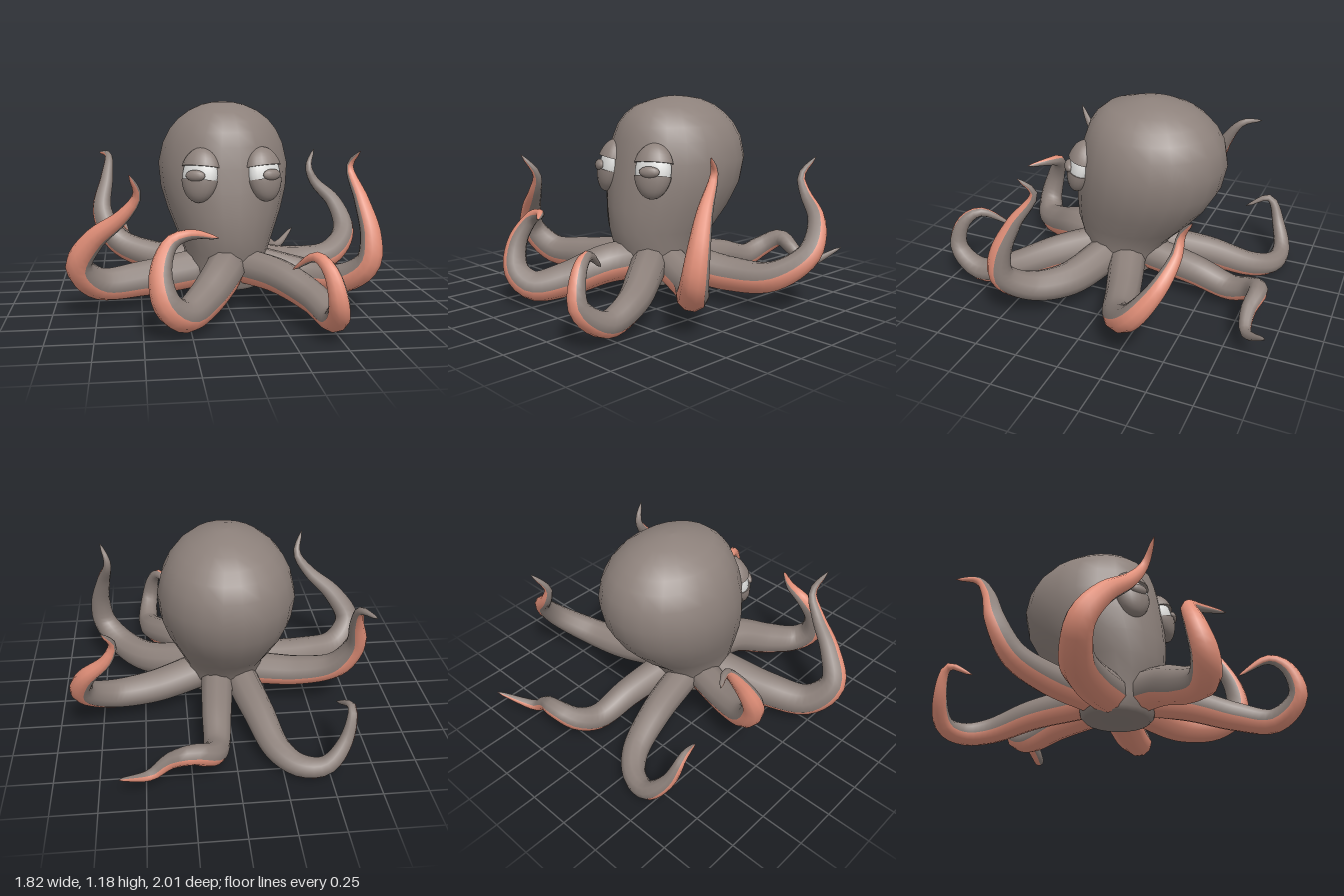
import * as THREE from 'three';

const mat = (name, color) => Object.assign(new THREE.MeshStandardMaterial({ color }), { name });
const V = (p) => new THREE.Vector3(...p);

// Skin a list of equal-sized rings; the first `split` strips use material 0, the rest material 1
function loft(rings, split) {
  const n = rings[0].length, pos = [], index = [];
  rings.forEach((ring) => ring.forEach((p) => pos.push(p.x, p.y, p.z)));
  for (let j = 0; j < n; j++) {
    const k = (j + 1) % n;
    for (let i = 0; i < rings.length - 1; i++) {
      const a = i * n, b = a + n;
      index.push(a + j, a + k, b + j, a + k, b + k, b + j);
    }
  }
  const geo = new THREE.BufferGeometry();
  geo.setAttribute('position', new THREE.Float32BufferAttribute(pos, 3));
  geo.setIndex(index);
  const cut = split * (rings.length - 1) * 6;
  geo.addGroup(0, cut, 0);
  geo.addGroup(cut, index.length - cut, 1);
  geo.computeVertexNormals();
  return geo;
}

// Tapered arm along a curve; the underside, rolled by an angle, is carried along without twisting
function armGeometry(thick, roll, points) {
  const curve = new THREE.CatmullRomCurve3(points.map(V), false, 'centripetal');
  const rings = [], steps = 36, sides = 10;
  const down = new THREE.Vector3(0, -1, 0);
  for (let i = 0; i <= steps; i++) {
    const t = i / steps, c = curve.getPointAt(t), dir = curve.getTangentAt(t);
    down.addScaledVector(dir, -down.dot(dir)).normalize();
    const side = new THREE.Vector3().crossVectors(dir, down);
    const r = i === steps ? 0.002 : thick * (1 - Math.pow(t, 1.6)) + 0.007;
    rings.push(Array.from({ length: sides }, (_, j) => {
      const a = ((j - 2) / sides) * Math.PI * 2 + roll;
      return c.clone().addScaledVector(down, r * Math.cos(a)).addScaledVector(side, r * Math.sin(a));
    }));
  }
  return loft(rings, 4);
}

// Elliptical body sections: y, half width, front z, back z
const BODY = [
  [0.1, 0.001, 0.03, 0.028], [0.103, 0.2, 0.21, -0.16], [0.125, 0.225, 0.235, -0.18], [0.2, 0.235, 0.25, -0.2],
  [0.32, 0.25, 0.29, -0.26], [0.42, 0.288, 0.315, -0.36], [0.55, 0.34, 0.317, -0.47],
  [0.68, 0.378, 0.305, -0.545], [0.82, 0.39, 0.285, -0.575], [0.94, 0.362, 0.26, -0.555],
  [1.02, 0.322, 0.232, -0.51], [1.08, 0.272, 0.192, -0.455], [1.13, 0.205, 0.13, -0.39],
  [1.165, 0.125, 0.01, -0.3], [1.18, 0.06, -0.06, -0.2], [1.185, 0.001, -0.125, -0.127],
];

// Arms: thickness, roll of the underside, centre line from body to tip
const ARMS = {
  frontRightArm: [0.11, 0.25, [[-0.01, 0.24, 0.18], [-0.06, 0.23, 0.36], [-0.18, 0.15, 0.56], [-0.29, 0.12, 0.71],
    [-0.38, 0.2, 0.76], [-0.41, 0.36, 0.73], [-0.35, 0.5, 0.67], [-0.25, 0.54, 0.68], [-0.12, 0.54, 0.78]]],
  middleRightArm: [0.108, 0, [[-0.17, 0.21, 0.07], [-0.5, 0.175, 0.15], [-0.74, 0.18, 0.24], [-0.84, 0.31, 0.33],
    [-0.75, 0.47, 0.4], [-0.6, 0.6, 0.47], [-0.52, 0.72, 0.51], [-0.56, 0.84, 0.59]]],
  rearRightArm: [0.092, -0.2, [[-0.17, 0.22, -0.05], [-0.45, 0.25, -0.15], [-0.64, 0.33, -0.23], [-0.73, 0.5, -0.29],
    [-0.7, 0.7, -0.38], [-0.69, 0.83, -0.48], [-0.75, 0.84, -0.59]]],
  backRightArm: [0.09, 0, [[-0.08, 0.22, -0.14], [-0.15, 0.18, -0.45], [-0.23, 0.1, -0.7], [-0.34, 0.07, -0.81],
    [-0.47, 0.09, -0.84], [-0.58, 0.21, -0.79], [-0.62, 0.37, -0.71], [-0.57, 0.31, -0.57]]],
  backLeftArm: [0.09, 0, [[0.06, 0.22, -0.14], [0.09, 0.18, -0.45], [0.11, 0.13, -0.67], [0.15, 0.18, -0.8],
    [0.25, 0.24, -0.865], [0.37, 0.19, -0.845], [0.47, 0.12, -0.86], [0.63, 0.22, -1]]],
  rearLeftArm: [0.1, -0.35, [[0.17, 0.22, -0.05], [0.45, 0.18, -0.14], [0.7, 0.2, -0.22], [0.84, 0.33, -0.36],
    [0.8, 0.5, -0.48], [0.68, 0.63, -0.53], [0.64, 0.73, -0.54], [0.69, 0.84, -0.61]]],
  middleLeftArm: [0.1, -0.45, [[0.17, 0.23, 0.07], [0.47, 0.18, 0.2], [0.64, 0.2, 0.36], [0.75, 0.31, 0.46],
    [0.765, 0.46, 0.45], [0.73, 0.65, 0.37], [0.69, 0.83, 0.26], [0.73, 0.92, 0.33]]],
  frontLeftArm: [0.098, 0, [[0.09, 0.24, 0.15], [0.27, 0.22, 0.36], [0.42, 0.15, 0.59], [0.47, 0.105, 0.8],
    [0.455, 0.22, 0.95], [0.42, 0.38, 0.92], [0.37, 0.44, 0.83], [0.28, 0.34, 0.67]]],
};

export function createModel() {
  const model = new THREE.Group();
  model.name = 'octopus';
  const skin = mat('skin', 0x8d817b);
  const underside = mat('underside', 0xe4917a);
  const white = mat('eyeWhite', 0xdededc);

  const add = (parent, name, geo, material) => {
    const mesh = new THREE.Mesh(geo, material);
    mesh.name = name;
    parent.add(mesh);
    return mesh;
  };

  // Head and body
  const rings = BODY.map(([y, rx, front, back]) => Array.from({ length: 22 }, (_, j) => {
    const a = (j / 22) * Math.PI * 2;
    return new THREE.Vector3(0.008 + rx * Math.cos(a), y, (front + back) / 2 - ((front - back) / 2) * Math.sin(a));
  }));
  add(model, 'body', loft(rings, 0), [skin, skin]);

  // Eight arms with coloured undersides
  for (const [name, arm] of Object.entries(ARMS)) {
    add(model, name, armGeometry(...arm), [underside, skin]);
  }

  // Eyes: flattened white ball, heavy lids, narrow pupil, leaning back with the head
  const lid = (start, length) => new THREE.SphereGeometry(1, 18, 8, 0, Math.PI * 2, start, length);
  for (const s of [-1, 1]) {
    const eye = new THREE.Group();
    eye.name = s > 0 ? 'leftEye' : 'rightEye';
    eye.position.set(0.02 + s * 0.182, 0.785, 0.228);
    eye.rotation.set(-0.24, s * 0.5, 0, 'YXZ');
    add(eye, 'eyeball', new THREE.SphereGeometry(1, 18, 12), white).scale.set(0.106, 0.135, 0.066);
    // Each lid: start angle, sweep, rim angle, width, depth, rim facing
    for (const [name, start, sweep, rim, w, d, face] of [
      ['upperLid', 0, 1.28, 1.28, 0.118, 0.085, 1],
      ['lowerLid', 1.76, Math.PI - 1.76, 1.76, 0.11, 0.076, -1],
    ]) {
      add(eye, name, lid(start, sweep), skin).scale.set(w, 0.157, d);
      const ledge = add(eye, name + 'Rim', new THREE.CircleGeometry(Math.sin(rim), 18), skin);
      ledge.rotation.x = face * Math.PI / 2;
      ledge.position.y = 0.157 * Math.cos(rim);
      ledge.scale.set(w, d, 1);
    }
    const pupil = add(eye, 'pupil', new THREE.SphereGeometry(1, 14, 8), skin);
    pupil.scale.set(0.06, 0.032, 0.025);
    pupil.position.set(0, -0.012, 0.068);
    model.add(eye);
  }
  return model;
}
